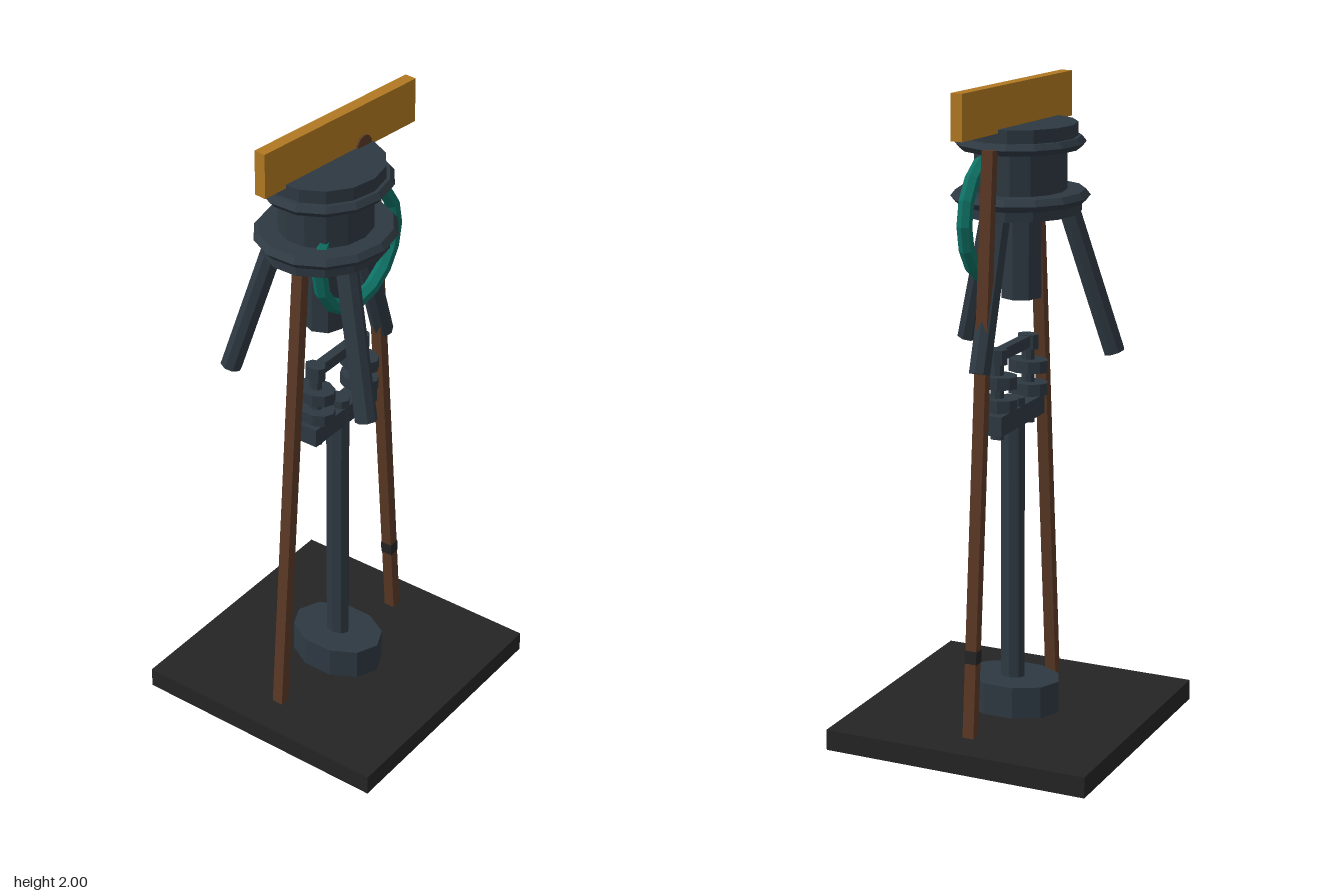
import * as THREE from 'three';

export function createModel() {
  const model = new THREE.Group();
  model.name = 'rig';

  const mat = (name, color) => {
    const m = new THREE.MeshStandardMaterial({ color, flatShading: true });
    m.name = name;
    return m;
  };
  const black = mat('black base', 0x242424);
  const slate = mat('slate metal', 0x2e3942);
  const brown = mat('brown wood', 0x5a3824);
  const amber = mat('amber board', 0xb07821);
  const teal = mat('teal hose', 0x0e7064);

  const add = (name, geo, material, x = 0, y = 0, z = 0) => {
    const mesh = new THREE.Mesh(geo, material);
    mesh.name = name;
    mesh.position.set(x, y, z);
    model.add(mesh);
    return mesh;
  };
  // Upright elliptical cylinder between two heights
  const drum = (name, rx, rz, y0, y1, x, sides) =>
    add(name, new THREE.CylinderGeometry(1, 1, y1 - y0, sides).scale(rx, 1, rz), slate, x, (y0 + y1) / 2);
  // Bar from a to b
  const between = (name, geo, material, a, b) => {
    const mesh = add(name, geo, material);
    mesh.position.copy(a).lerp(b, 0.5);
    mesh.quaternion.setFromUnitVectors(new THREE.Vector3(0, 1, 0), b.clone().sub(a).normalize());
    return mesh;
  };
  const V = (x, y, z) => new THREE.Vector3(x, y, z);

  // Base, foot and post
  add('base', new THREE.BoxGeometry(0.85, 0.065, 0.85), black, 0, 0.0325);
  drum('foot', 0.115, 0.155, 0.06, 0.165, 0, 10);
  drum('post', 0.029, 0.04, 0.16, 1.055, 0, 8);

  // Yoke: crossbar, two pins with discs, and a top tie bar
  add('yokeCrossbar', new THREE.BoxGeometry(0.31, 0.06, 0.07), slate, 0, 1.0);
  add('yokeTieBar', new THREE.BoxGeometry(0.2, 0.035, 0.03), slate, 0, 1.205);
  for (const s of [-1, 1]) {
    const x = s * 0.11;
    drum('yokePin', 0.016, 0.022, 0.95, 1.2, x, 8);
    drum('yokePinCap', 0.025, 0.034, 1.18, 1.225, x, 8);
    drum('yokeLowerDisc', 0.046, 0.065, 1.04, 1.077, x, 10);
    drum('yokeUpperDisc', 0.046, 0.065, 1.11, 1.147, x, 10);
  }

  // Side poles leaning in to the head
  for (const s of [-1, 1]) {
    const a = V(s * 0.303, 0.07, 0), b = V(s * 0.158, 1.82, 0);
    between('sidePole', new THREE.BoxGeometry(0.033, a.distanceTo(b), 0.036), brown, a, b);
  }
  const wrap = add('poleBand', new THREE.BoxGeometry(0.036, 0.04, 0.039), black, 0.282, 0.32);
  wrap.rotation.z = 0.083;

  // Head: stacked drum with pointed flanges
  const hx = -0.055;
  drum('headBarrel', 0.147, 0.136, 1.62, 1.84, hx, 14);
  drum('headCap', 0.18, 0.168, 1.82, 1.875, hx, 14);
  drum('headLowerPlate', 0.2, 0.178, 1.61, 1.65, hx, 14);
  const flange = (name, rx, rz, y, h) => {
    const profile = [[0, -h], [0.93, -h], [1, 0], [0.93, h], [0, h]].map(p => new THREE.Vector2(...p));
    add(name, new THREE.LatheGeometry(profile, 14).scale(rx, 1, rz), slate, hx, y);
  };
  flange('headUpperFlange', 0.207, 0.192, 1.818, 0.017);
  flange('headLowerFlange', 0.221, 0.205, 1.658, 0.018);
  drum('headSpindle', 0.065, 0.063, 1.35, 1.62, -0.062, 8);

  // Three splayed struts under the head
  for (let i = 0; i < 3; i++) {
    const t = (i * Math.PI * 2) / 3, c = Math.cos(t), s = Math.sin(t);
    const a = V(hx + 0.285 * c, 1.175, 0.285 * s), b = V(hx + 0.14 * c, 1.63, 0.14 * s);
    between('strut', new THREE.CylinderGeometry(0.033, 0.033, a.distanceTo(b), 8), slate, a, b);
  }

  // Hose loop passing through the head
  add('hoseLoop', new THREE.TorusGeometry(0.182, 0.023, 6, 16), teal, 0, 1.597, 0.07);

  // Top board, turned slightly, with a round plug on its front
  const board = add('topBoard', new THREE.BoxGeometry(0.623, 0.136, 0.038), amber, 0, 1.932, -0.002);
  board.rotation.y = -0.105;
  const plug = new THREE.Mesh(new THREE.CylinderGeometry(0.03, 0.03, 0.008, 10).rotateX(Math.PI / 2), brown);
  plug.name = 'boardPlug';
  plug.position.set(0.088, -0.055, 0.022);
  board.add(plug);

  return model;
}
